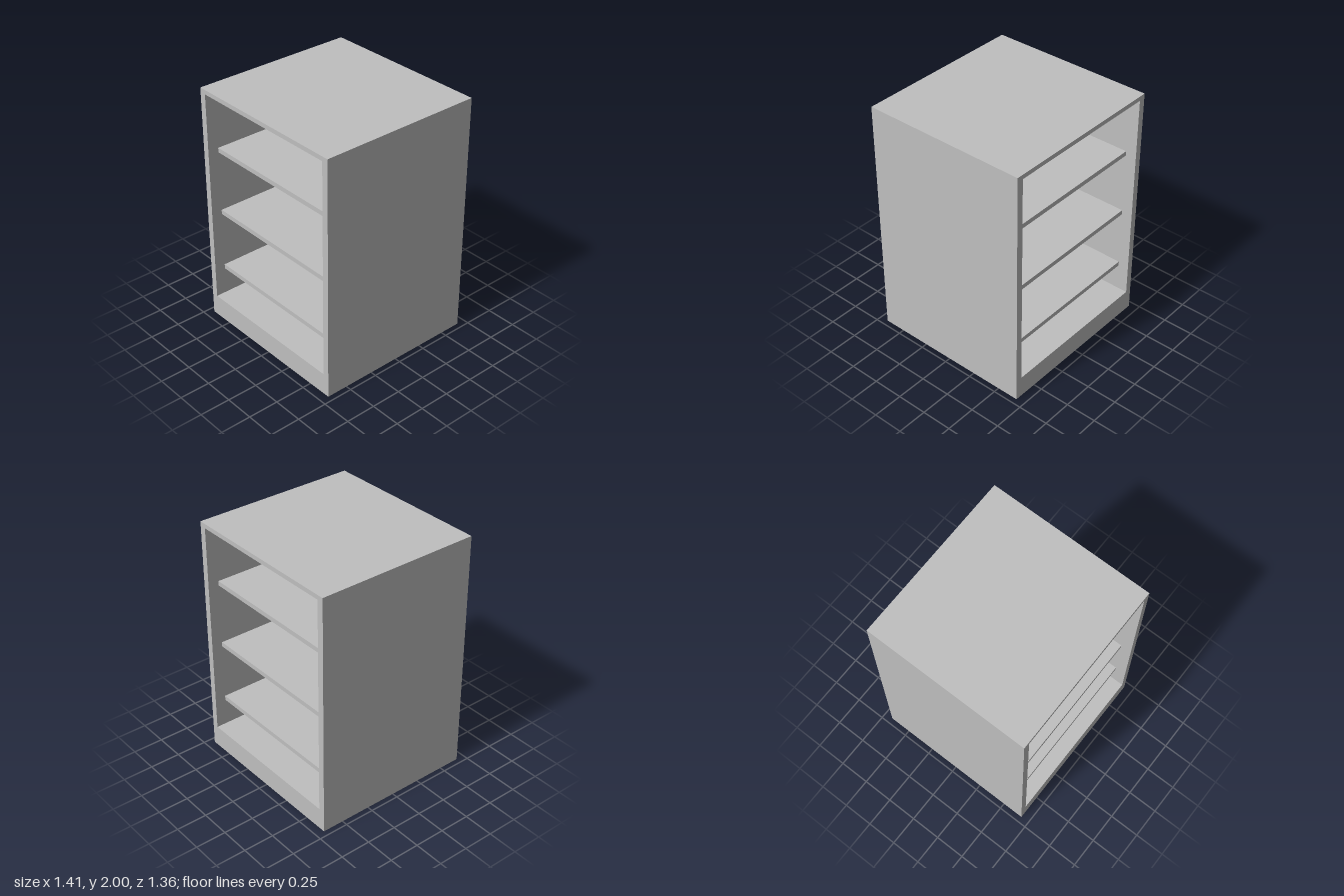
import * as THREE from 'three';

const W = 1.407, H = 2, D = 1.356;              // outer size of the cabinet
const INNER = 0.65, FLOOR = 0.18, CEILING = 1.964; // opening half-width, bottom and top
const SHELF_T = 0.038, SETBACK = 0.09;

export function createModel() {
  const group = new THREE.Group();
  group.name = 'openShelfCabinet';
  const grey = new THREE.MeshStandardMaterial({ color: 0xbfbfbf });
  grey.name = 'light grey';

  // Outer carcass: sides, top and thick plinth, open at front and back
  const outline = new THREE.Shape([
    new THREE.Vector2(-W / 2, 0), new THREE.Vector2(W / 2, 0),
    new THREE.Vector2(W / 2, H), new THREE.Vector2(-W / 2, H),
  ]);
  outline.holes.push(new THREE.Path([
    new THREE.Vector2(-INNER, FLOOR), new THREE.Vector2(-INNER, CEILING),
    new THREE.Vector2(INNER, CEILING), new THREE.Vector2(INNER, FLOOR),
  ]));
  const carcassGeometry = new THREE.ExtrudeGeometry(outline, { depth: D, bevelEnabled: false });
  carcassGeometry.translate(0, 0, -D / 2);
  const carcass = new THREE.Mesh(carcassGeometry, grey);
  carcass.name = 'carcass';
  group.add(carcass);

  // Three shelves, set back from both open faces
  const shelfGeometry = new THREE.BoxGeometry(2 * INNER, SHELF_T, D - 2 * SETBACK);
  [0.425, 0.93, 1.473].forEach((y, i) => {
    const shelf = new THREE.Mesh(shelfGeometry, grey);
    shelf.name = `shelf${i + 1}`;
    shelf.position.y = y;
    group.add(shelf);
  });

  return group;
}
